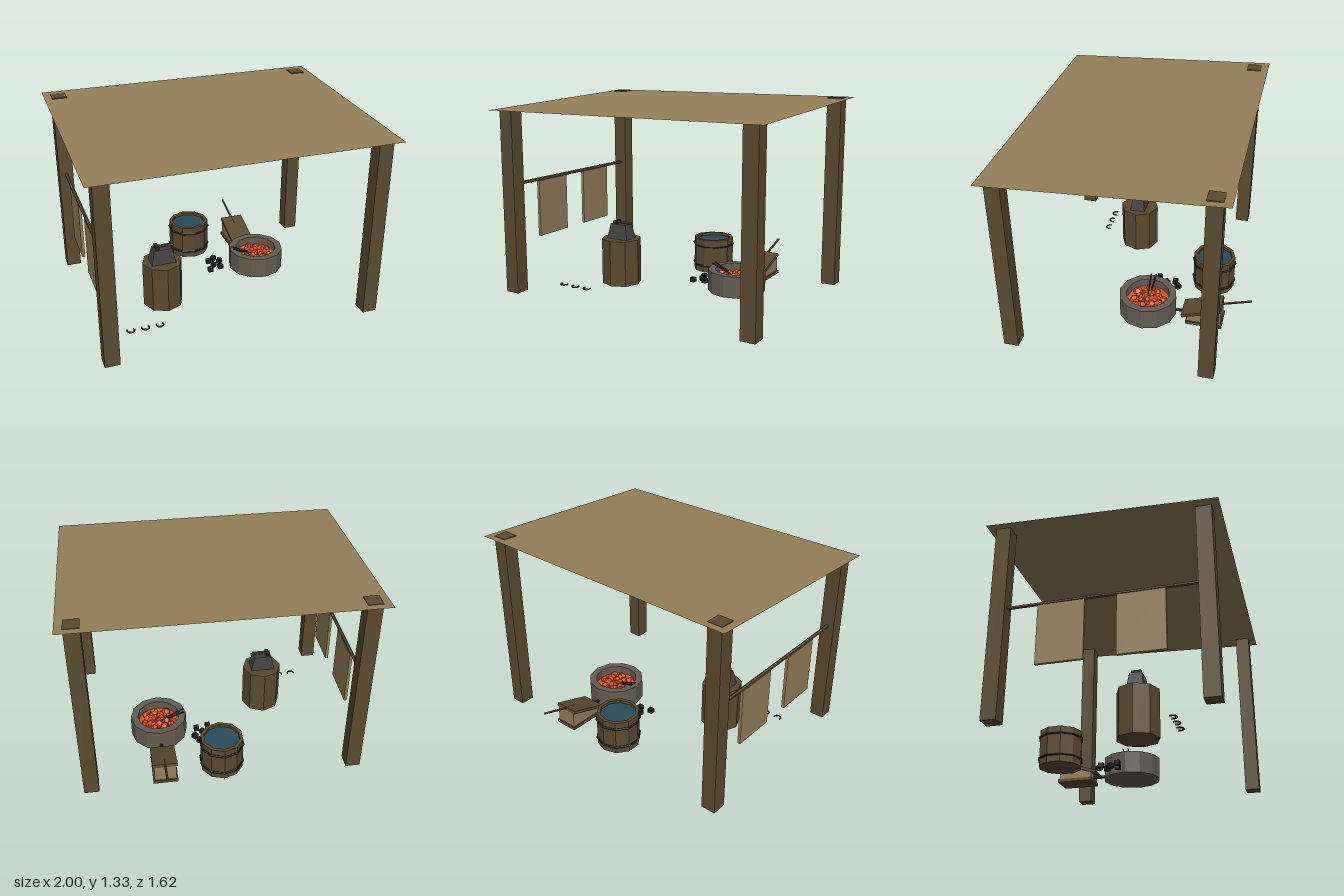
import * as THREE from 'three';

const mat = (color, extra = {}) =>
  new THREE.MeshStandardMaterial({ color, flatShading: true, ...extra });
const wood = mat(0x5c4a2f);
const cloth = mat(0x957f59, { side: THREE.DoubleSide });
const stone = mat(0x645d52);
const iron = mat(0x464443);
const darkIron = mat(0x242425);
const water = mat(0x2c4c5c);
const ember = mat(0xd9541e);
const coal = mat(0x1c1d1f);

function add(parent, name, geometry, material, x = 0, y = 0, z = 0) {
  const mesh = new THREE.Mesh(geometry, material);
  mesh.name = name;
  mesh.position.set(x, y, z);
  parent.add(mesh);
  return mesh;
}

const box = (w, h, d) => new THREE.BoxGeometry(w, h, d);

function group(parent, name, x, y, z) {
  const g = new THREE.Group();
  g.name = name;
  g.position.set(x, y, z);
  parent.add(g);
  return g;
}

// Straight rod between two points
function rod(parent, name, a, b, radius, material, sides = 6) {
  const from = new THREE.Vector3(...a), to = new THREE.Vector3(...b);
  const dir = to.clone().sub(from);
  const mesh = add(parent, name, new THREE.CylinderGeometry(radius, radius, dir.length(), sides), material);
  mesh.position.copy(from).add(to).multiplyScalar(0.5);
  mesh.quaternion.setFromUnitVectors(new THREE.Vector3(0, 1, 0), dir.normalize());
  return mesh;
}

// Open tub with thick wall and a floor at the given height
function tub(outer, inner, height, floor, sides) {
  const profile = [[0, 0], [outer, 0], [outer, height], [inner, height], [inner, floor], [0, floor]];
  return new THREE.LatheGeometry(profile.map(p => new THREE.Vector2(...p)), sides);
}

export function createModel() {
  const model = new THREE.Group();
  model.name = 'smithyStall';

  // Posts: the back pair is taller and pokes through the roof
  for (const side of [-1, 1]) {
    add(model, 'frontPost', box(0.1, 1.25, 0.1), wood, side * 0.9, 0.625, 0.71);
    add(model, 'backPost', box(0.1, 1.328, 0.1), wood, side * 0.9, 0.664, -0.59);
  }

  // Sloping canvas roof
  const roof = add(model, 'roof', new THREE.PlaneGeometry(2, 1.502), cloth, 0, 1.291, 0.06);
  roof.rotation.x = -Math.PI / 2 + Math.atan(0.072 / 1.5);

  // Side rail with hanging cloths
  rod(model, 'rail', [-0.9, 0.75, 0.68], [-0.9, 0.75, -0.56], 0.012, wood);
  for (const z of [0.31, -0.19]) add(model, 'hangingCloth', box(0.02, 0.4, 0.3), cloth, -0.9, 0.54, z);

  // Anvil on its stump, with a hammer on top
  const anvil = group(model, 'anvilStand', -0.4, 0, 0.16);
  add(anvil, 'stump', new THREE.CylinderGeometry(0.14, 0.14, 0.325, 8), wood, 0, 0.1625, 0);
  const block = new THREE.CylinderGeometry(0.74, 1, 0.105, 4);
  block.rotateY(Math.PI / 4);
  block.scale(0.085 * Math.SQRT2, 1, 0.055 * Math.SQRT2);
  add(anvil, 'anvilBlock', block, iron, 0, 0.377, 0);
  add(anvil, 'hammerHead', box(0.025, 0.022, 0.065), darkIron, -0.037, 0.439, 0);
  rod(anvil, 'hammerHandle', [-0.03, 0.438, 0], [0.085, 0.438, 0], 0.008, wood);

  // Water barrel with two hoops
  const barrel = group(model, 'waterBarrel', 0, 0, -0.49);
  add(barrel, 'barrelWall', tub(0.148, 0.125, 0.25, 0.2, 10), wood);
  const surface = add(barrel, 'water', new THREE.CircleGeometry(0.125, 10), water, 0, 0.23, 0);
  surface.rotation.set(-Math.PI / 2, 0, Math.PI / 2);
  for (const y of [0.05, 0.2]) {
    const hoop = new THREE.TorusGeometry(0.15, 0.008, 5, 10);
    hoop.rotateX(Math.PI / 2);
    hoop.rotateY(Math.PI / 2);
    add(barrel, 'hoop', hoop, darkIron, 0, y, 0);
  }

  // Stone fire pit filled with glowing coals
  const forge = group(model, 'firePit', 0.4, 0, -0.09);
  add(forge, 'pitWall', tub(0.2, 0.15, 0.15, 0.08, 12), stone);
  const bed = add(forge, 'emberBed', new THREE.CircleGeometry(0.15, 12), ember, 0, 0.09, 0);
  bed.rotation.x = -Math.PI / 2;
  for (let i = 0; i < 18; i++) {
    const angle = i * 2.4, r = 0.028 * Math.sqrt(i);
    const lump = add(forge, 'ember', new THREE.DodecahedronGeometry(0.025 + 0.004 * (i % 3)), ember,
      r * Math.cos(angle), 0.097, r * Math.sin(angle));
    lump.rotation.set(i, i * 1.7, 0);
  }

  // Tongs leaning on the rim
  for (const side of [-1, 1]) {
    rod(forge, 'tongs', [0, 0.09, side * 0.004], [-0.183, 0.172, side * 0.018], 0.005, darkIron);
  }

  // Bellows: boards, wedge-shaped bag, nozzle and handle
  const bellows = group(model, 'bellows', 0.4, 0, 0);
  add(bellows, 'bottomBoard', box(0.17, 0.022, 0.25), wood, 0, 0.011, -0.495);
  const side = new THREE.Shape([[0.375, 0.02], [0.61, 0.02], [0.61, 0.135], [0.375, 0.06]]
    .map(p => new THREE.Vector2(...p)));
  const bag = new THREE.ExtrudeGeometry(side, { depth: 0.15, bevelEnabled: false });
  bag.rotateY(Math.PI / 2);
  add(bellows, 'bag', bag, cloth, -0.075, 0, 0);
  const topBoard = add(bellows, 'topBoard', box(0.17, 0.022, 0.28), wood, 0, 0.103, -0.475);
  topBoard.rotation.x = 0.31;
  rod(bellows, 'handle', [0, 0.128, -0.53], [0, 0.21, -0.803], 0.008, wood);
  rod(bellows, 'nozzle', [0, 0.04, -0.27], [0, 0.04, -0.39], 0.011, darkIron);

  // Loose coal between barrel and pit
  const spots = [[0.045, -0.1], [0.09, -0.16], [0.13, -0.12], [0.15, -0.2], [0.07, -0.22], [0.12, -0.25]];
  spots.forEach(([x, z], i) => {
    add(model, 'coalLump', box(0.036, 0.032, 0.036), coal, x, 0.016, z).rotation.y = i * 0.8;
  });

  // Horseshoes on the ground, open to the back
  for (const x of [-0.705, -0.605, -0.505]) {
    const arc = Math.PI * 1.35;
    const shoe = new THREE.TorusGeometry(0.025, 0.006, 5, 10, arc);
    shoe.rotateZ((Math.PI - arc) / 2);
    shoe.rotateX(Math.PI / 2);
    add(model, 'horseshoe', shoe, darkIron, x, 0.006, 0.44);
  }

  return model;
}
